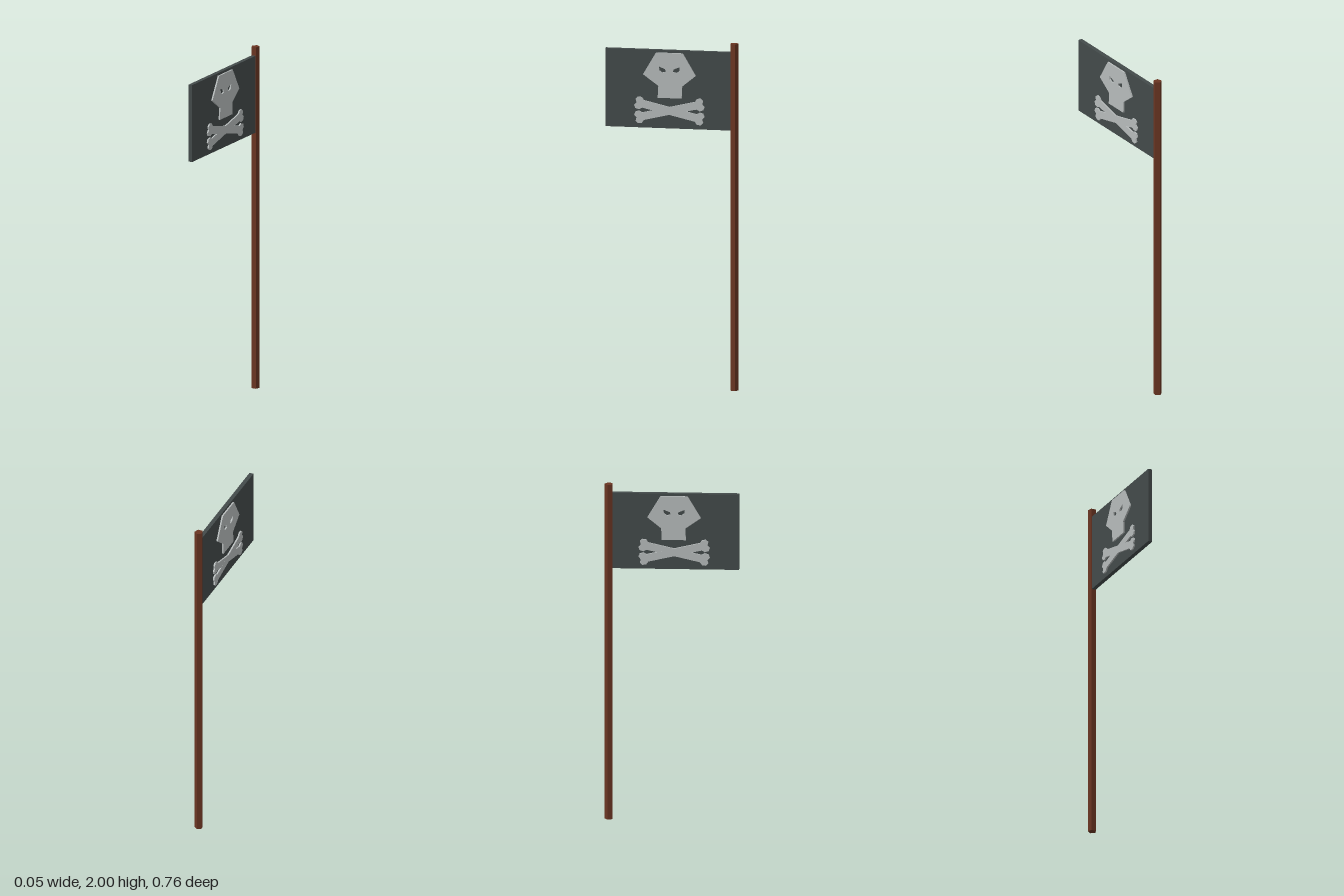
import * as THREE from 'three';

const mat = (name, color) => {
  const m = new THREE.MeshStandardMaterial({ color });
  m.name = name;
  return m;
};

export function createModel() {
  const wood = mat('brown wood', 0x6a3522);
  const cloth = mat('dark cloth', 0x434a4a);
  const bone = mat('pale bone', 0xb6bbbb);
  const group = new THREE.Group();
  const add = (name, geometry, material, x, y, z) => {
    const mesh = new THREE.Mesh(geometry, material);
    mesh.name = name;
    mesh.position.set(x, y, z);
    group.add(mesh);
    return mesh;
  };
  const points = (list) => list.map(([x, y]) => new THREE.Vector2(x, y));

  // Flat emblem piece, standing out on both faces of the flag; shape x runs to -z
  const emblem = (name, shape, depth, y, z) => {
    const g = new THREE.ExtrudeGeometry(shape, { depth, bevelEnabled: false });
    g.translate(0, 0, -depth / 2).rotateY(Math.PI / 2);
    return add(name, g, bone, 0, y, z);
  };

  // Five-sided pole with one edge pointing backwards
  const pole = new THREE.CylinderGeometry(0.0243, 0.0243, 2, 5).toNonIndexed();
  pole.rotateY(Math.PI);
  pole.computeVertexNormals();
  add('pole', pole, wood, 0, 1, -0.3557);

  // Flag cloth
  add('flag', new THREE.BoxGeometry(0.024, 0.45, 0.725), cloth, 0, 1.725, 0.0175);

  // Skull with angled eye holes
  const skull = new THREE.Shape(points([
    [-0.09, 1.936], [-0.164, 1.809], [-0.076, 1.745], [-0.08, 1.676],
    [0.058, 1.676], [0.06, 1.745], [0.138, 1.809], [0.064, 1.936],
  ]));
  for (const s of [-1, 1]) {
    skull.holes.push(new THREE.Path(points([
      [0.06, 1.857], [0.024, 1.842], [0.02, 1.827], [0.04, 1.822], [0.058, 1.834],
    ].map(([x, y]) => [s * x - 0.013, y]))));
  }
  emblem('skull', skull, 0.042, 0, 0);

  // Crossed bones with knobbed ends
  const end = [
    [0.155, -0.022], [0.17, -0.036], [0.192, -0.034], [0.203, -0.018],
    [0.193, 0], [0.203, 0.018], [0.192, 0.034], [0.17, 0.036], [0.155, 0.022],
  ];
  const outline = [...end, ...end.map(([x, y]) => [-x, -y])];
  for (const s of [-1, 1]) {
    const b = emblem(s < 0 ? 'fallingBone' : 'risingBone',
      new THREE.Shape(points(outline)), s < 0 ? 0.042 : 0.0415, 1.602, 0.013);
    b.rotation.x = s * 0.23;
  }
  return group;
}
